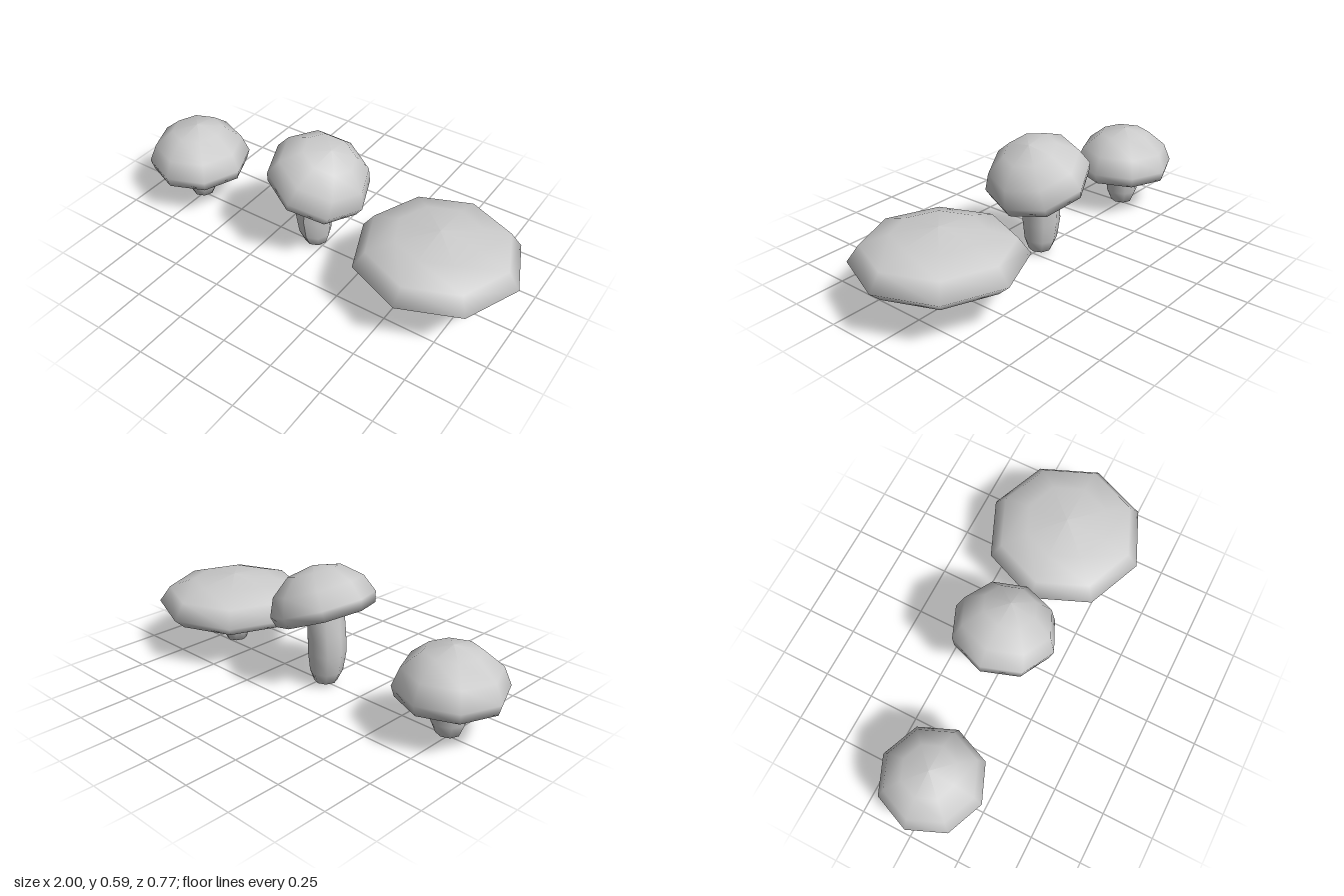
import * as THREE from 'three';

const SIDES = 8;
const material = new THREE.MeshStandardMaterial({ color: 0xcccccc, side: THREE.DoubleSide });

// Eight-sided smooth solid from [radius, height] pairs, listed bottom to top
function turned(name, profile, bend) {
  const geometry = new THREE.LatheGeometry(profile.map(([r, y]) => new THREE.Vector2(r, y)), SIDES);
  if (bend) {
    const p = geometry.attributes.position;
    for (let i = 0; i < p.count; i++) p.setXYZ(i, ...bend(p.getX(i), p.getY(i), p.getZ(i)));
    geometry.computeVertexNormals();
  }
  const mesh = new THREE.Mesh(geometry, material);
  mesh.name = name;
  return mesh;
}

// Cap profiles start in the shallow hollow around the stem, heights from the rim
const roundCap = [[0, 0.02], [0.085, 0.02], [0.12, 0], [0.235, 0], [0.25, 0.05], [0.215, 0.135], [0.125, 0.21], [0, 0.235]];
const flatCap = [[0, 0.02], [0.08, 0.02], [0.11, 0], [0.33, 0], [0.385, 0.05], [0.33, 0.127], [0.2, 0.171], [0, 0.195]];

const shortStem = [[0, 0], [0.055, 0.02], [0.08, 0.08], [0.088, 0.17], [0.09, 0.215]];
const thinStem = [[0, 0.015], [0.05, 0.035], [0.07, 0.09], [0.077, 0.17], [0.077, 0.215]];
const tallStem = [[0, 0], [0.055, 0.02], [0.078, 0.075], [0.09, 0.17], [0.09, 0.25], [0.088, 0.37]];

const TILT = 0.356;

// Tall stem: bows outward, then leans over to meet the tilted cap
function bendStem(x, y, z) {
  const lean = TILT * THREE.MathUtils.smoothstep(y, 0.1, 0.37);
  const bow = -0.012 * Math.sin(Math.PI * Math.min(y / 0.34, 1));
  return [x * Math.cos(lean) + bow, y - x * Math.sin(lean), z];
}

function mushroom(name, x, z, capProfile, stemProfile, rimHeight, tilt = 0, bend = null) {
  const group = new THREE.Group();
  group.name = name;
  const cap = turned('cap', capProfile);
  cap.position.y = rimHeight;
  cap.rotation.z = -tilt;
  group.add(cap, turned('stem', stemProfile, bend));
  group.position.set(x, 0, z);
  return group;
}

export function createModel() {
  const model = new THREE.Group();
  model.name = 'mushrooms';
  model.add(
    mushroom('shortMushroom', -0.75, 0, roundCap, shortStem, 0.19),
    mushroom('tiltedMushroom', -0.04, -0.01, roundCap, tallStem, 0.352, TILT, bendStem),
    mushroom('flatMushroom', 0.612, 0, flatCap, thinStem, 0.19)
  );
  return model;
}
